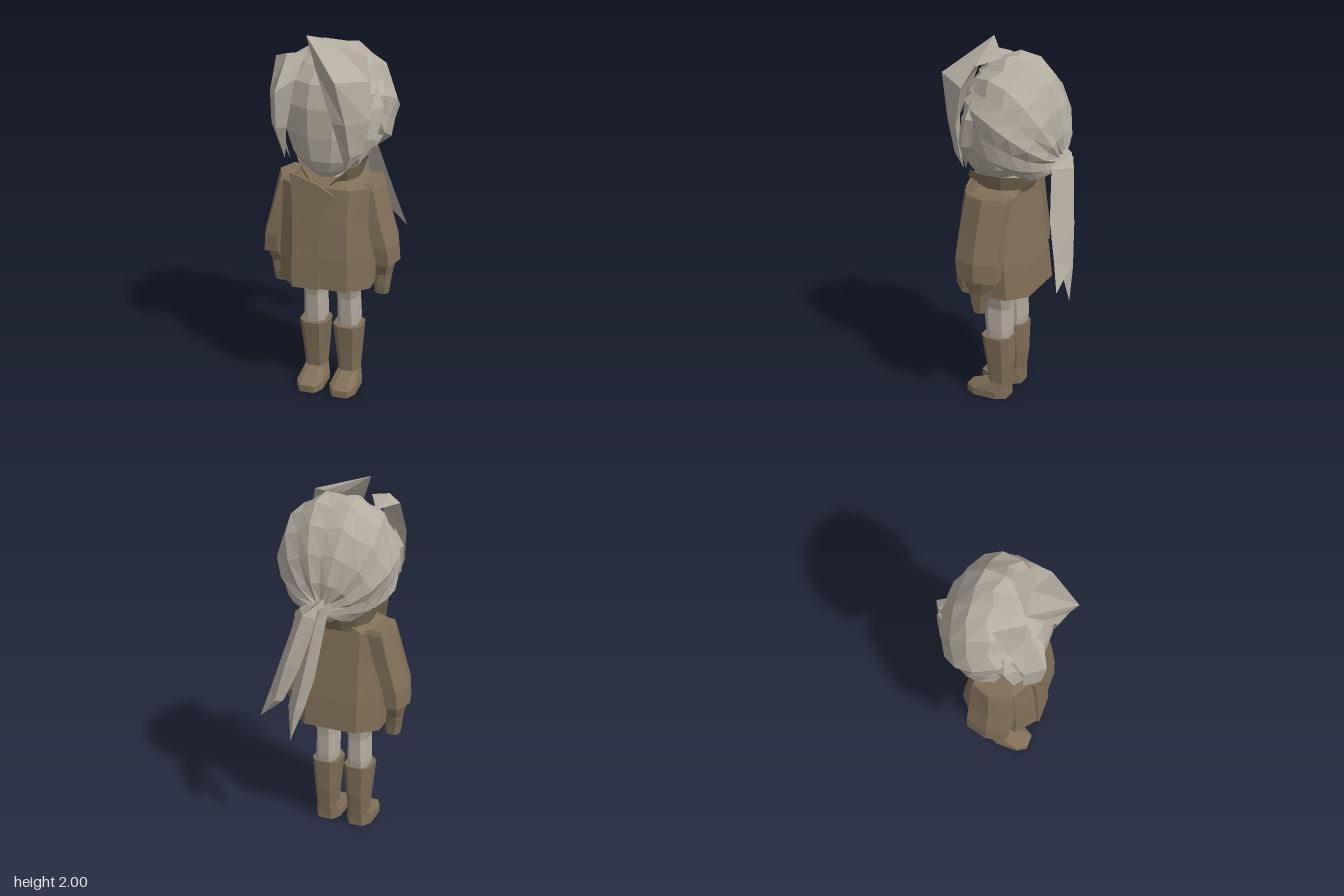
import * as THREE from 'three';

const pale = new THREE.MeshStandardMaterial({ color: 0xb4aca0, side: THREE.DoubleSide });
pale.name = 'pale grey';
const brown = new THREE.MeshStandardMaterial({ color: 0x806f58, side: THREE.DoubleSide });
brown.name = 'brown';

// Faceted skin over rings of points; a one-point ring is a tip
function loft(rings, cap = true) {
  const out = [];
  const n = Math.max(...rings.map(r => r.length));
  const tri = (a, b, c) => out.push(...a, ...b, ...c);
  const at = (r, i) => r[i % r.length];
  for (let k = 0; k < rings.length - 1; k++) {
    const a = rings[k], b = rings[k + 1];
    for (let i = 0; i < n; i++) {
      if (a.length > 1) tri(at(a, i), at(a, i + 1), at(b, i + 1));
      if (b.length > 1) tri(at(a, i), at(b, i + 1), at(b, i));
    }
  }
  if (cap) {
    const lo = rings[0], hi = rings[rings.length - 1];
    for (let i = 1; i < lo.length - 1; i++) tri(lo[0], lo[i + 1], lo[i]);
    for (let i = 1; i < hi.length - 1; i++) tri(hi[0], hi[i], hi[i + 1]);
  }
  const g = new THREE.BufferGeometry();
  g.setAttribute('position', new THREE.Float32BufferAttribute(out, 3));
  g.computeVertexNormals();
  return g;
}

// Level eight-sided ring: [y, x centre, half width, z back, z front]
function oct([y, cx, hw, zb, zf], c = 0.55) {
  const cz = (zb + zf) / 2, hd = (zf - zb) / 2;
  return [[-c, 1], [c, 1], [1, c], [1, -c], [c, -1], [-c, -1], [-1, -c], [-1, c]]
    .map(([x, z]) => [cx + x * hw, y, cz + z * hd]);
}

// Level round ring with n sides, same arguments
function round([y, cx, hw, zb, zf], n = 12) {
  return Array.from({ length: n }, (_, i) => {
    const a = (i + 0.5) / n * Math.PI * 2;
    return [cx + Math.sin(a) * hw, y, (zb + zf) / 2 + Math.cos(a) * (zf - zb) / 2];
  });
}

function part(name, geometry, material, parent) {
  const m = new THREE.Mesh(geometry, material);
  m.name = name;
  parent.add(m);
  return m;
}

// Strands fanning from the back knot over the skull, short at the nape
function hairCap() {
  const N = 22, steps = 6, rings = [];
  for (let k = 0; k <= steps; k++) {
    const ring = [];
    for (let i = 0; i < N; i++) {
      const phi = i / N * Math.PI * 2;
      const down = Math.abs(Math.atan2(Math.sin(phi), Math.cos(phi))) * 180 / Math.PI;
      const end = Math.max(137 - Math.max(0, down - 90) * 1.6, 42) + (i % 2 ? 3 : -3);
      const th = (6 + (end - 6) * k / steps) * Math.PI / 180;
      const c = Math.cos(th), s = Math.sin(th), u = s * Math.cos(phi);
      const ridge = (i % 2 ? 1.03 : 0.975) * (k === steps ? 0.97 : 1);
      const y = -0.4 * c + 0.92 * u;
      const z = -0.92 * c - 0.4 * u;
      const pz = z * (z > 0 ? 0.32 : 0.26) * ridge;
      const sag = pz < 0 ? pz * pz : 0;
      ring.push([s * Math.sin(phi) * 0.322 * ridge,
        1.6 + y * (y > 0 ? 0.345 : 0.32) * ridge - sag, pz]);
    }
    rings.push(ring);
  }
  return loft([[[0, 1.43, -0.265]], ...rings], false);
}

export function createModel() {
  const model = new THREE.Group();

  // Head
  part('head', loft([
    [1.27, 0, 0.06, 0.06, 0.22], [1.31, 0, 0.13, -0.03, 0.255], [1.37, 0, 0.2, -0.1, 0.28],
    [1.5, 0, 0.25, -0.15, 0.295], [1.65, 0, 0.26, -0.17, 0.295], [1.77, 0, 0.235, -0.15, 0.265],
    [1.85, 0, 0.17, -0.1, 0.2], [1.89, 0, 0.09, -0.04, 0.12]].map(r => round(r))), pale, model);
  part('neck', loft([[1.2, 0, 0.08, 0, 0.15], [1.32, 0, 0.08, 0, 0.15]].map(r => oct(r))), pale, model);

  // Hair
  const hair = new THREE.Group();
  hair.name = 'hair';
  model.add(hair);
  part('hairCap', hairCap(), pale, hair);
  part('leftFringe', loft([
    [[0.02, 1.92, 0.12], [0.06, 1.93, 0.08], [0.1, 1.94, 0.045]],
    [[-0.1, 2, 0.19], [0.05, 1.955, 0.17], [0.2, 1.91, 0.15]],
    [[-0.03, 1.84, 0.25], [0.11, 1.83, 0.39], [0.24, 1.8, 0.21]],
    [[0.07, 1.6, 0.31], [0.15, 1.6, 0.34], [0.25, 1.6, 0.24]],
    [[0.11, 1.43, 0.285], [0.16, 1.42, 0.295], [0.21, 1.43, 0.24]],
    [[0.13, 1.33, 0.26]]]), pale, hair);
  part('rightFringe', loft([
    [[-0.18, 1.87, 0.054]],
    [[-0.1, 1.9, 0.2], [-0.19, 1.91, 0.22], [-0.265, 1.88, 0.175]],
    [[-0.125, 1.8, 0.295], [-0.215, 1.74, 0.345], [-0.275, 1.715, 0.25]],
    [[-0.17, 1.55, 0.305], [-0.22, 1.55, 0.325], [-0.27, 1.55, 0.25]],
    [[-0.2, 1.36, 0.25]]]), pale, hair);
  for (const [s, name] of [[1, 'leftSideLock'], [-1, 'rightSideLock']]) {
    part(name, loft([
      [[s * 0.25, 1.76, 0.14]],
      [[s * 0.24, 1.65, 0.21], [s * 0.295, 1.66, 0.16], [s * 0.28, 1.65, 0.09]],
      [[s * 0.22, 1.5, 0.24], [s * 0.27, 1.5, 0.2], [s * 0.255, 1.5, 0.15]],
      [[s * 0.18, 1.35, 0.22]]]), pale, hair);
  }

  // Two-bladed ponytail sweeping to the left
  part('ponytailLong', loft([
    [[-0.06, 1.46, -0.25], [-0.02, 1.43, -0.3], [0.02, 1.42, -0.25]],
    [[-0.04, 1.35, -0.27], [0, 1.35, -0.315], [0.06, 1.35, -0.26]],
    [[0.01, 1.05, -0.3], [0.06, 1.05, -0.345], [0.12, 1.05, -0.28]],
    [[0.06, 0.87, -0.33], [0.1, 0.87, -0.36], [0.155, 0.87, -0.315]],
    [[0.13, 0.685, -0.355]]]), pale, hair);
  part('ponytailWide', loft([
    [[-0.03, 1.48, -0.25], [0, 1.46, -0.3], [0.04, 1.44, -0.24]],
    [[-0.01, 1.38, -0.3], [0.06, 1.4, -0.335], [0.12, 1.4, -0.24]],
    [[0.08, 1.1, -0.34], [0.14, 1.13, -0.38], [0.2, 1.15, -0.27]],
    [[0.16, 0.92, -0.37], [0.2, 0.92, -0.39], [0.255, 0.95, -0.32]],
    [[0.3, 0.8, -0.355]]]), pale, hair);

  // Coat
  part('coat', loft([
    [0.67, 0, 0.25, -0.13, 0.305], [0.84, 0, 0.247, -0.112, 0.3], [1.04, 0, 0.235, -0.08, 0.28],
    [1.22, 0, 0.235, -0.05, 0.25], [1.25, 0, 0.15, -0.05, 0.21]].map(r => oct(r, 0.6))), brown, model);

  // Flared collar, open and low at the front
  const collarTop = round([1.33, 0, 0.185, -0.13, 0.285])
    .map(([x, y, z]) => [x, z > 0.1 && Math.abs(x) < 0.1 ? 1.255 : y, z]);
  part('collar', loft([round([1.225, 0, 0.15, -0.07, 0.215]), collarTop], false), brown, model);

  // Overlapping front panel with lapel, leaning with the coat
  const flap = new THREE.Shape([[-0.17, 1.3], [-0.02, 1.25], [0.065, 1.2], [0, 1.08], [0, 0.67], [-0.15, 0.67], [-0.15, 1.15]]
    .map(p => new THREE.Vector2(...p)));
  const flapGeo = new THREE.ExtrudeGeometry(flap, { depth: 0.015, bevelEnabled: false });
  const leanZ = y => 0.306 - Math.max(0, y - 0.67) * 0.065;
  const fp = flapGeo.attributes.position;
  for (let i = 0; i < fp.count; i++) fp.setZ(i, fp.getZ(i) + leanZ(fp.getY(i)));
  flapGeo.computeVertexNormals();
  part('coatFlap', flapGeo, brown, model);
  for (const y of [1.04, 0.86]) {
    const b = part('button', new THREE.CylinderGeometry(0.014, 0.014, 0.008, 8), brown, model);
    b.rotation.x = Math.PI / 2;
    b.position.set(-0.08, y, leanZ(y) + 0.017);
  }

  // Arms, hands, legs and boots, mirrored
  for (const [s, side] of [[1, 'left'], [-1, 'right']]) {
    const limbs = new THREE.Group();
    limbs.name = side + 'Limbs';
    limbs.scale.x = s;
    model.add(limbs);
    part('sleeve', loft([
      [0.8, 0.312, 0.066, -0.045, 0.215], [0.9, 0.298, 0.073, -0.05, 0.23], [1.05, 0.252, 0.08, -0.05, 0.225],
      [1.21, 0.21, 0.086, -0.05, 0.205], [1.235, 0.205, 0.083, -0.04, 0.19]].map(r => round(r, 6))), brown, limbs);
    part('hand', loft([
      [0.6, 0.282, 0.036, 0.06, 0.125], [0.65, 0.284, 0.04, 0.055, 0.135], [0.72, 0.293, 0.04, 0.04, 0.14],
      [0.81, 0.305, 0.05, 0, 0.18]].map(r => oct(r))), brown, limbs);
    part('leg', loft([
      [0.34, 0.095, 0.055, 0.01, 0.13], [0.42, 0.095, 0.058, 0, 0.14], [0.55, 0.093, 0.054, 0, 0.155],
      [0.67, 0.1, 0.078, -0.015, 0.19], [0.75, 0.1, 0.08, -0.02, 0.2]].map(r => oct(r))), pale, limbs);
    part('boot', loft([
      [0, 0.094, 0.074, 0.015, 0.26], [0.04, 0.094, 0.074, 0.015, 0.26], [0.095, 0.095, 0.056, 0.01, 0.125],
      [0.2, 0.095, 0.064, -0.002, 0.137], [0.38, 0.095, 0.079, -0.005, 0.162]].map(r => oct(r))), brown, limbs);
  }
  return model;
}
